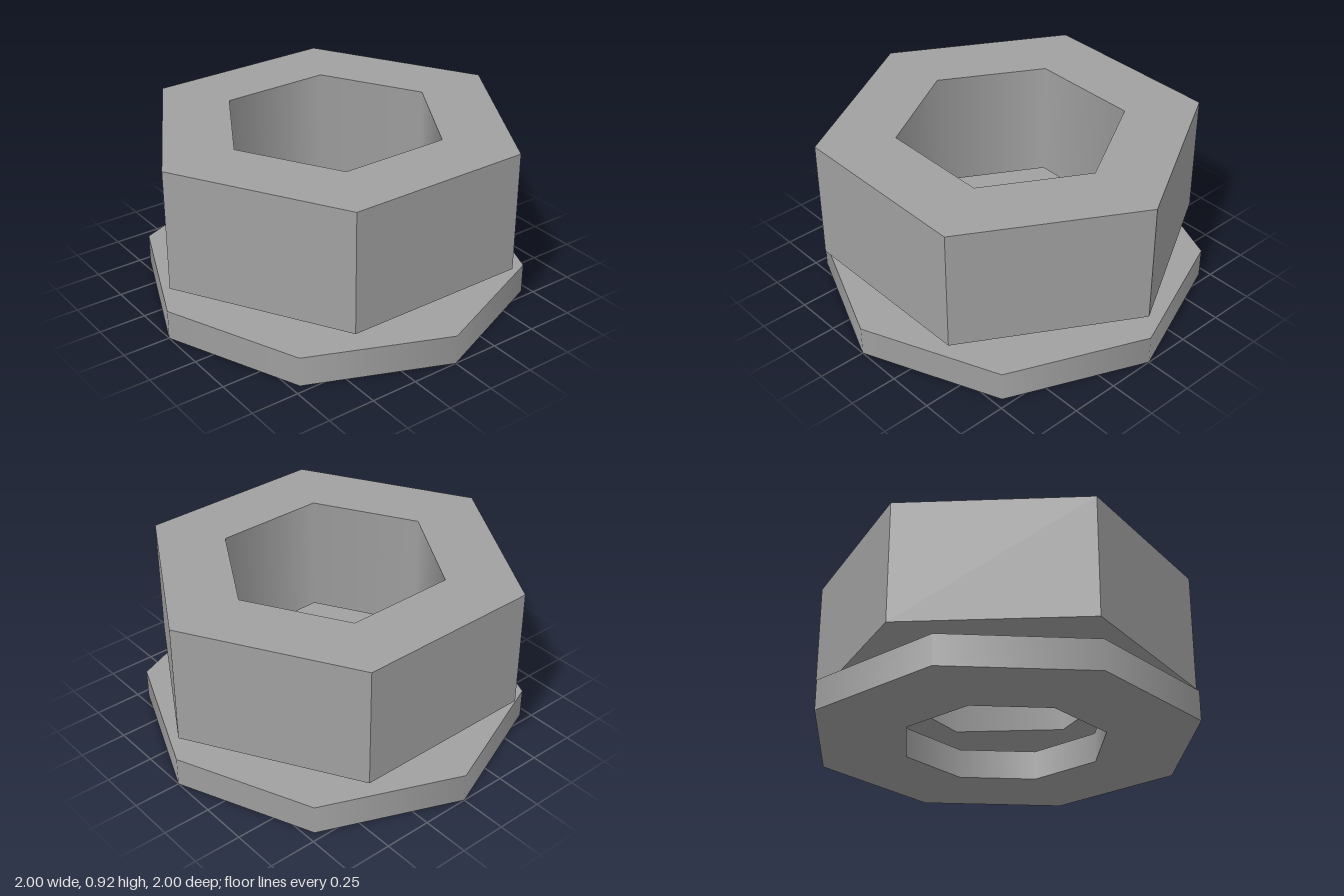
import * as THREE from 'three';
import { mergeGeometries } from 'three/addons/utils/BufferGeometryUtils.js';

// Open vertical wall with corners on the z axis, facing outwards
function wall(radius, y0, y1, sides, smooth) {
  const indexed = new THREE.CylinderGeometry(radius, radius, y1 - y0, sides, 1, true);
  indexed.translate(0, (y0 + y1) / 2, 0);
  const geometry = indexed.toNonIndexed();
  if (!smooth) geometry.computeVertexNormals();
  return geometry;
}

// Turn a wall inside out for the bore
function inward(geometry) {
  for (const attribute of Object.values(geometry.attributes)) {
    const size = attribute.itemSize, a = attribute.array;
    for (let i = 0; i < a.length; i += size * 3) {
      for (let k = 0; k < size; k++) {
        [a[i + size + k], a[i + 2 * size + k]] = [a[i + 2 * size + k], a[i + size + k]];
      }
    }
  }
  const normals = geometry.attributes.normal.array;
  for (let i = 0; i < normals.length; i++) normals[i] *= -1;
  return geometry;
}

// Flat polygonal ring facing up (1) or down (-1)
function cap(inner, outer, y, sides, facing) {
  return new THREE.RingGeometry(inner, outer, sides, 1, Math.PI / 2)
    .rotateX(-facing * Math.PI / 2)
    .translate(0, y, 0)
    .toNonIndexed();
}

function polygonRing(name, { inner, outer, y0, y1, sides, smoothOutside }, material) {
  const geometry = mergeGeometries([
    wall(outer, y0, y1, sides, smoothOutside),
    inward(wall(inner, y0, y1, sides, true)),
    cap(inner, outer, y1, sides, 1),
    cap(inner, outer, y0, sides, -1),
  ]);
  const mesh = new THREE.Mesh(geometry, material);
  mesh.name = name;
  return mesh;
}

export function createModel() {
  const group = new THREE.Group();
  group.name = 'nutAndWasher';
  const steel = new THREE.MeshStandardMaterial({ color: 0xa0a0a0 });
  steel.name = 'steel grey';

  // Eight-sided washer with softly shaded rims
  group.add(polygonRing('washer', {
    inner: 0.53, outer: 1, y0: 0, y1: 0.157, sides: 8, smoothOutside: true,
  }, steel));

  // Hexagonal nut hovering above it, with crisp outer faces
  group.add(polygonRing('hexNut', {
    inner: 0.582, outer: 0.978, y0: 0.28, y1: 0.915, sides: 6, smoothOutside: false,
  }, steel));

  return group;
}
